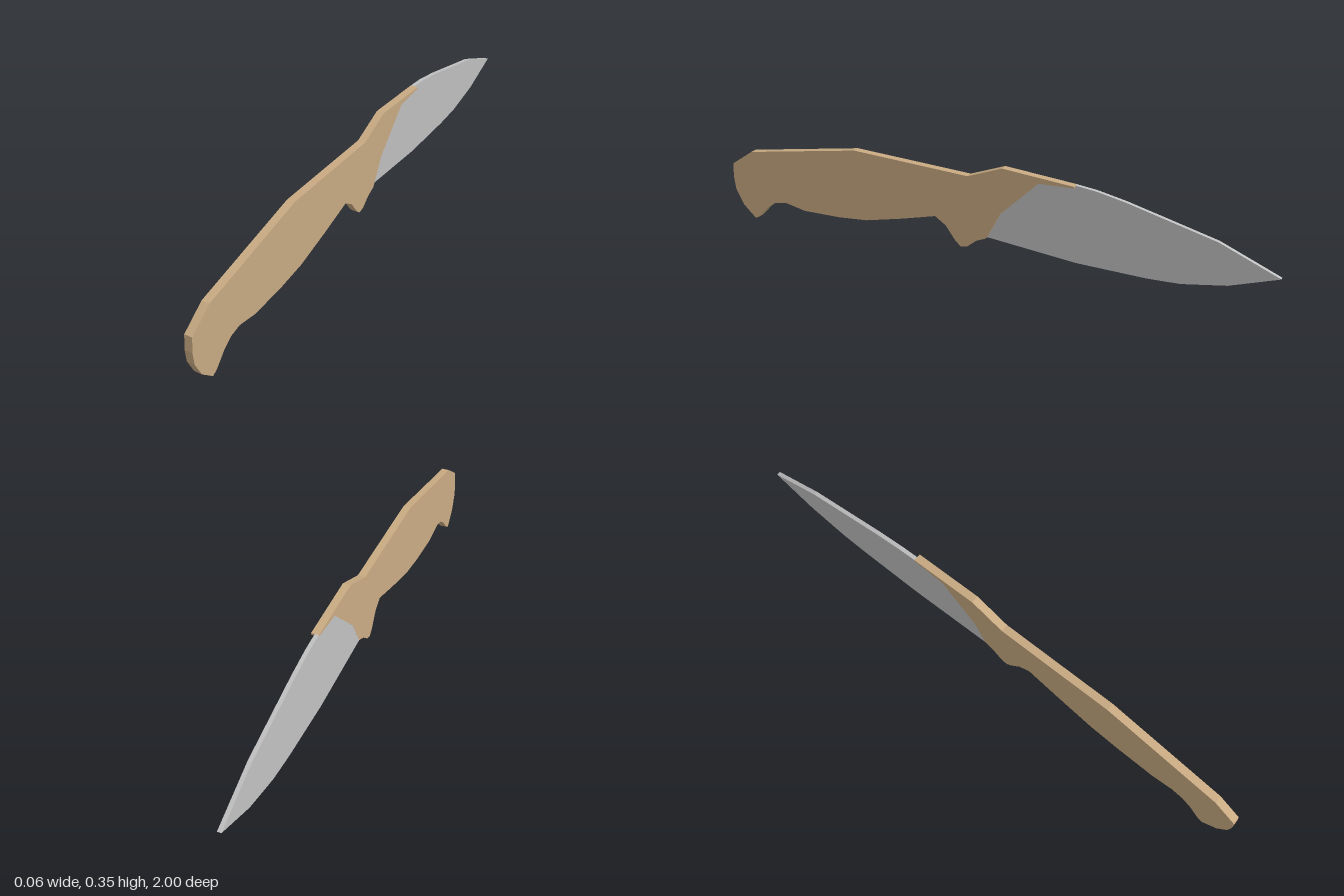
import * as THREE from 'three';

// Flat slab cut from a side outline of [z, y] points, spanning x0..x1,
// then leaned slightly sideways along its length and height.
function slab(name, outline, x0, x1, material) {
  const shape = new THREE.Shape(outline.map(([z, y]) => new THREE.Vector2(-z, y)));
  const geo = new THREE.ExtrudeGeometry(shape, { depth: x1 - x0, bevelEnabled: false });
  geo.rotateY(Math.PI / 2).translate(x0, 0, 0);
  const p = geo.attributes.position;
  for (let i = 0; i < p.count; i++) {
    p.setX(i, p.getX(i) - 0.0047 + 0.0145 * p.getZ(i) + 0.024 * p.getY(i));
  }
  geo.computeVertexNormals();
  const mesh = new THREE.Mesh(geo, material);
  mesh.name = name;
  return mesh;
}

export function createModel() {
  const tan = new THREE.MeshStandardMaterial({ color: 0xc8aa82 });
  tan.name = 'tan handle';
  const steel = new THREE.MeshStandardMaterial({ color: 0xc0c0c0 });
  steel.name = 'grey steel';

  // Joint where the handle meets the blade, from spine to cutting edge
  const joint = [[-0.33, 0.325], [-0.208, 0.322], [-0.07, 0.187], [-0.02, 0.09]];

  const handle = [
    // butt and back
    [1, 0.155], [0.995, 0.208], [0.91, 0.265], [0.476, 0.335], [0.045, 0.308],
    [-0.08, 0.355], [-0.33, 0.331],
    ...joint,
    // finger guard
    [0.016, 0.075], [0.05, 0.047], [0.075, 0.042], [0.096, 0.063], [0.13, 0.112], [0.17, 0.14],
    // belly of the grip
    [0.3, 0.107], [0.444, 0.075], [0.555, 0.067], [0.7, 0.067], [0.78, 0.085], [0.825, 0.077],
    // hooked pommel
    [0.86, 0.053], [0.9, 0.01], [0.92, 0], [0.968, 0.048], [0.995, 0.107],
  ];

  const blade = [
    ...[...joint].reverse(),
    // spine to tip
    [-0.33, 0.331], [-0.4, 0.322], [-0.5, 0.3], [-0.8, 0.218], [-1, 0.13],
    // cutting edge
    [-0.84, 0.075], [-0.69, 0.05], [-0.58, 0.047], [-0.34, 0.055],
  ];

  const knife = new THREE.Group();
  knife.name = 'knife';
  // The blade is flush with the handle on the right and recessed on the left
  knife.add(
    slab('handle', handle, -0.0135, 0.0135, tan),
    slab('blade', blade, -0.0132, 0.001, steel),
  );
  return knife;
}
